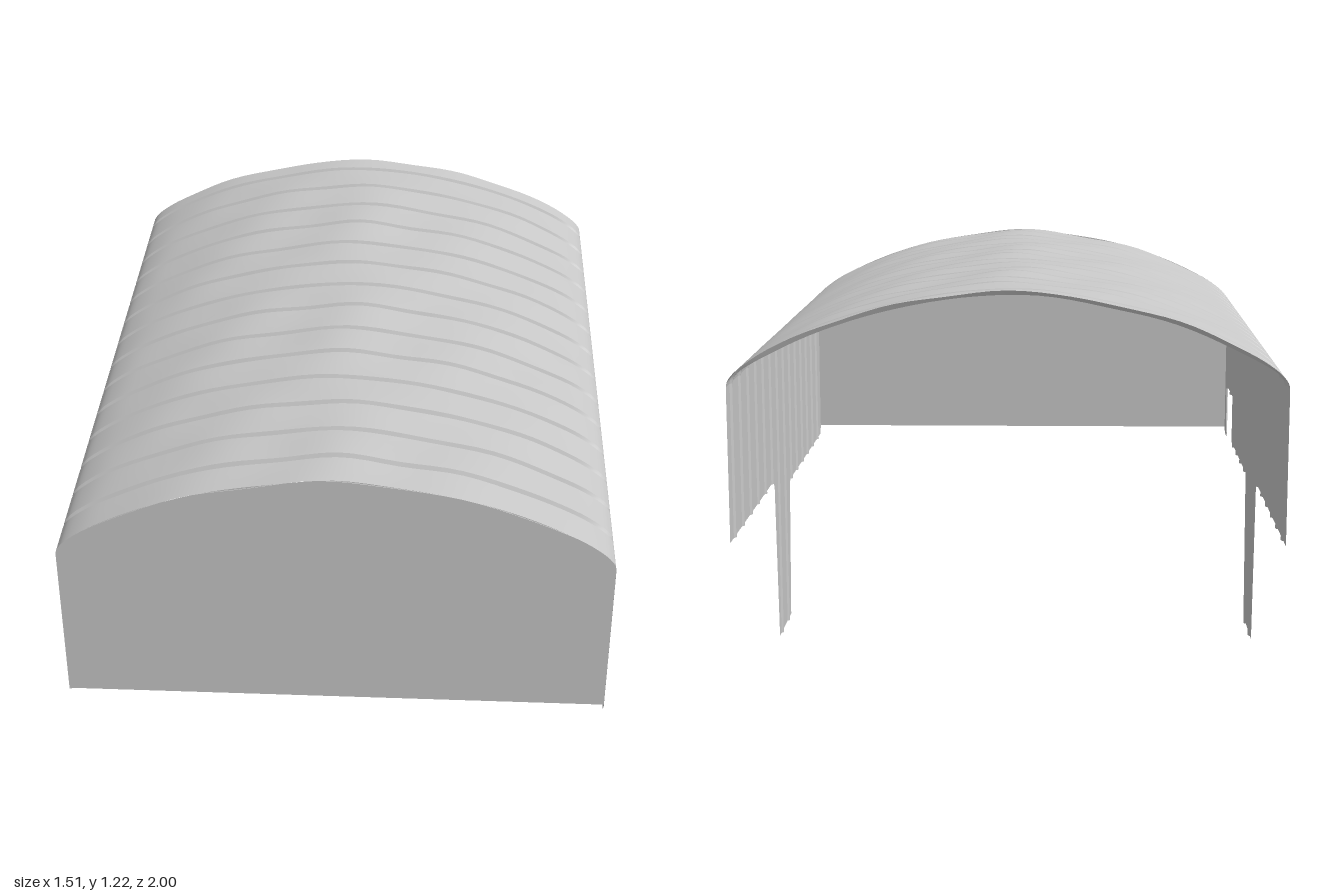
import * as THREE from 'three';
import { toCreasedNormals } from 'three/addons/utils/BufferGeometryUtils.js';

const EAVE = 0.95;
const HALF_WIDTH = 0.755;
const SEAMS = Array.from({ length: 14 }, (_, i) => -0.93 + i * 0.1392);

// Lower edge of each side wall as [z, y], including the support leg
const LEG = [[-1, 0.52], [-0.195, 0.52], [-0.178, 0.49], [-0.14, 0], [0.12, 0]];
const LEFT_EDGE = [...LEG, [0.158, 0.43], [0.17, 0.45], [0.98, 0.45], [1, 0.475]];
const RIGHT_EDGE = [...LEG, [0.158, 0.45], [0.17, 0.48], [0.7, 0.48], [0.702, 0.645],
  [0.884, 0.645], [0.886, 0.48], [0.92, 0.46], [0.98, 0.46], [1, 0.48]];

// Half of the roof arch, from ridge to eave
const ARCH = [[0, 1.214], [0.17, 1.195], [0.34, 1.165], [0.5, 1.115], [0.64, 1.052],
  [0.715, 1.005], [0.748, 0.972], [HALF_WIDTH, EAVE]];

function archPoints(count) {
  const full = [...ARCH.slice(1).reverse().map(([x, y]) => [-x, y]), ...ARCH];
  return new THREE.SplineCurve(full.map(([x, y]) => new THREE.Vector2(x, y))).getPoints(count);
}

function edgeHeight(edge, z) {
  for (let i = 1; i < edge.length; i++) {
    const [z0, y0] = edge[i - 1], [z1, y1] = edge[i];
    if (z <= z1) return THREE.MathUtils.mapLinear(z, z0, z1, y0, y1);
  }
  return edge[edge.length - 1][1];
}

// 1 in the bottom of a panel seam, 0 on the panel
function seam(z) {
  const d = Math.min(...SEAMS.map((s) => Math.abs(z - s)));
  return THREE.MathUtils.clamp((0.011 - d) / 0.007, 0, 1);
}

// z positions of the cross-sections: panels, seam edges and lower-edge corners
function stations(extra = []) {
  const zs = extra.map(([z]) => z);
  for (let i = 0; i <= 56; i++) zs.push(-1 + i / 28);
  const kept = zs.filter((z) => Math.abs(z) === 1 || extra.some(([e]) => e === z) || seam(z) === 0);
  for (const s of SEAMS) for (const o of [-0.011, -0.004, 0.004, 0.011]) kept.push(s + o);
  return [...new Set(kept)].sort((a, b) => a - b);
}

// Surface through a list of cross-sections
function sheet(sections) {
  const n = sections[0].length;
  const index = [];
  for (let i = 0; i < sections.length - 1; i++) {
    for (let j = 0; j < n - 1; j++) {
      const a = i * n + j, b = a + n;
      index.push(a, b, a + 1, b, b + 1, a + 1);
    }
  }
  const geometry = new THREE.BufferGeometry().setFromPoints(sections.flat());
  geometry.setIndex(index);
  return toCreasedNormals(geometry, 0.6);
}

// Gentle dents in the roof sheeting
function dent(x, z) {
  const fade = 1 - Math.pow(Math.abs(x) / HALF_WIDTH, 4);
  return fade * 0.0022 * (Math.sin(17 * x + 9 * z) + Math.sin(23 * z - 12 * x + 1) * Math.cos(11 * x));
}

function roofGeometry() {
  const arch = archPoints(56);
  return sheet(stations().map((z) => arch.map((p) => {
    const groove = seam(z);
    return new THREE.Vector3(
      p.x * (1 - 0.008 * groove),
      p.y - 0.016 * groove * THREE.MathUtils.smoothstep(p.y, EAVE, 1.06) + dent(p.x, z), z);
  })));
}

function wallGeometry(side, edge) {
  const rows = 4;
  return sheet(stations(edge).map((z) => {
    const bottom = edgeHeight(edge, z);
    const x = side * HALF_WIDTH * (1 - 0.008 * seam(z));
    const column = [];
    for (let j = 0; j <= rows; j++) {
      column.push(new THREE.Vector3(x, THREE.MathUtils.lerp(EAVE, bottom, j / rows), z));
    }
    return side > 0 ? column : column.reverse();
  }));
}

export function createModel() {
  const group = new THREE.Group();
  const sheetMetal = new THREE.MeshStandardMaterial({ color: 0xc8c8c8, side: THREE.DoubleSide });
  sheetMetal.name = 'light grey sheet';

  const add = (name, geometry) => {
    const mesh = new THREE.Mesh(geometry, sheetMetal);
    mesh.name = name;
    group.add(mesh);
    return mesh;
  };

  add('roof', roofGeometry());
  add('leftWall', wallGeometry(1, LEFT_EDGE));
  add('rightWall', wallGeometry(-1, RIGHT_EDGE));

  // Flat panel closing the front; the back stays open
  const panel = new THREE.Shape([
    new THREE.Vector2(HALF_WIDTH, 0.48),
    ...archPoints(56).reverse(),
    new THREE.Vector2(-HALF_WIDTH, 0.48),
  ]);
  add('frontPanel', new THREE.ShapeGeometry(panel)).position.z = 0.998;

  return group;
}
